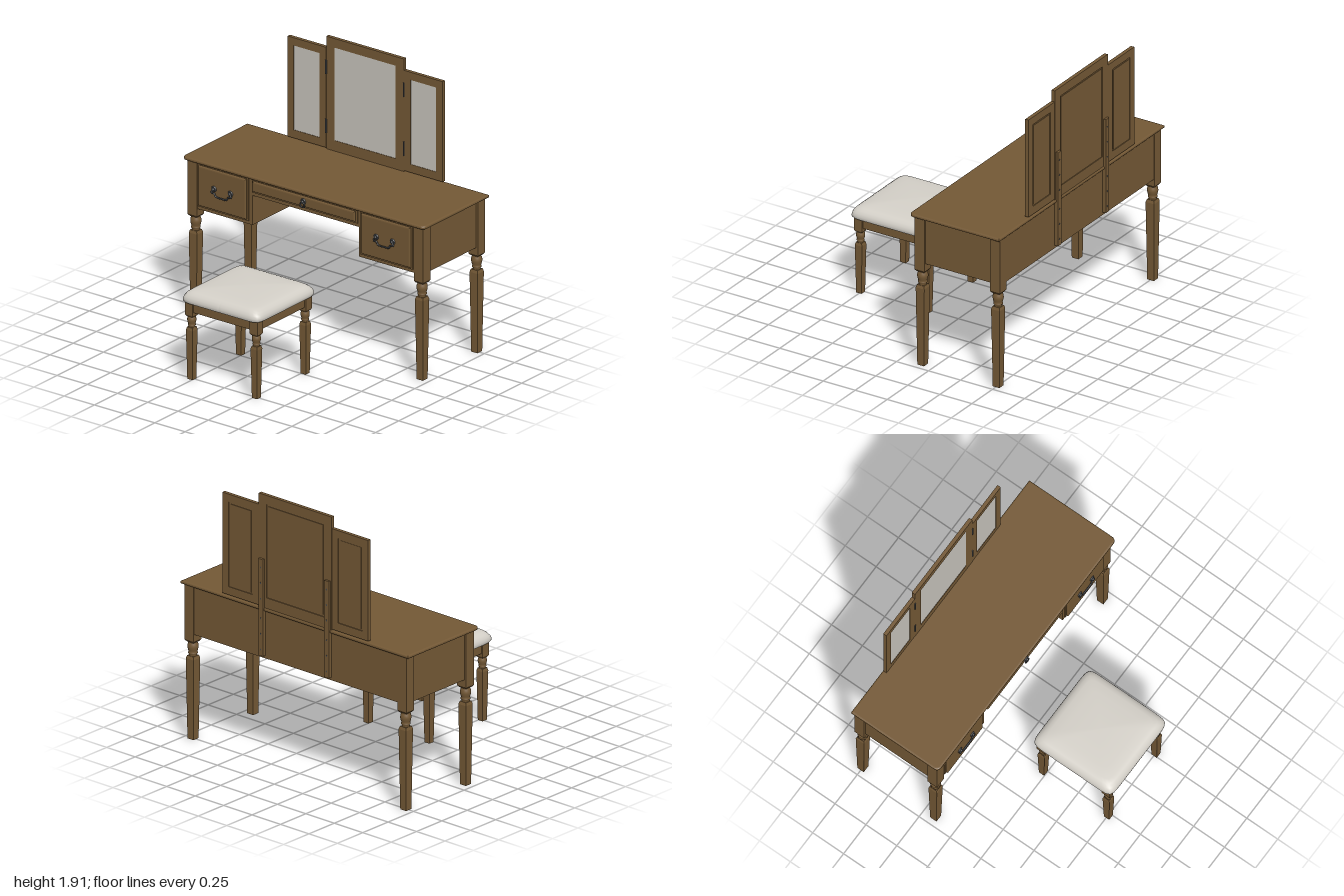
import * as THREE from 'three';

const mat = (name, color, extra = {}) => {
  const m = new THREE.MeshStandardMaterial({ color, ...extra });
  m.name = name;
  return m;
};

export function createModel() {
  const wood = mat('brown wood', 0x735835);
  const glass = mat('mirror glass', 0xc6c2bb);
  const fabric = mat('cushion fabric', 0xd3cfc7);
  const metal = mat('dark metal', 0x45474a);

  const model = new THREE.Group();
  model.name = 'vanityTableAndStool';
  const group = (name, parent = model) => {
    const g = new THREE.Group();
    g.name = name;
    parent.add(g);
    return g;
  };
  const add = (parent, name, geo, material, x = 0, y = 0, z = 0) => {
    const m = new THREE.Mesh(geo, material);
    m.name = name;
    m.position.set(x, y, z);
    parent.add(m);
    return m;
  };
  // Box given by its limits on each axis
  const box = (parent, name, [x0, x1], [y0, y1], [z0, z1], material = wood) =>
    add(parent, name, new THREE.BoxGeometry(x1 - x0, y1 - y0, z1 - z0), material,
      (x0 + x1) / 2, (y0 + y1) / 2, (z0 + z1) / 2);
  const rect = (Type, x0, x1, y0, y1) => new Type([
    [x0, y0], [x1, y0], [x1, y1], [x0, y1]].map(p => new THREE.Vector2(...p)));

  // Leg: square block, turned bead, square tapering foot
  function leg(parent, name, x, z, top, blockBottom, half) {
    const g = group(name, parent);
    g.position.set(x, 0, z);
    box(g, 'legBlock', [-half, half], [blockBottom, top], [-half, half]);
    const taper = (t, b, h, y, part) => {
      const geo = new THREE.CylinderGeometry(t * Math.SQRT2, b * Math.SQRT2, h, 4).toNonIndexed();
      geo.rotateY(Math.PI / 4);
      geo.computeVertexNormals();
      add(g, part, geo, wood, 0, y, 0);
    };
    taper(half, half * 0.72, 0.014, blockBottom - 0.007, 'blockChamfer');
    const s = half / 0.039;
    const bead = [[0.024, 0], [0.03, -0.012], [0.029, -0.018], [0.034, -0.026], [0.037, -0.042],
      [0.037, -0.052], [0.033, -0.07], [0.028, -0.082], [0.032, -0.088], [0.032, -0.095],
      [0.026, -0.1], [0.025, -0.125]]
      .reverse().map(([r, y]) => new THREE.Vector2(r * s, blockBottom + y * s));
    add(g, 'turnedBead', new THREE.LatheGeometry(bead, 24), wood);
    const footTop = blockBottom - 0.12 * s;
    taper(half * 0.7, half * 0.86, 0.02, footTop - 0.002, 'footChamfer');
    taper(half * 0.86, half * 0.66, footTop - 0.012, (footTop - 0.012) / 2, 'taperedFoot');
  }

  // ---- Table ----
  const table = group('table');
  const r = 0.025, ex = 0.988, zf = 0.108, zb = 0.79;
  const outline = new THREE.Shape();
  outline.moveTo(-ex, zb);
  outline.lineTo(-ex, zf + r);
  outline.quadraticCurveTo(-ex, zf, -ex + r, zf);
  outline.lineTo(ex - r, zf);
  outline.quadraticCurveTo(ex, zf, ex, zf + r);
  outline.lineTo(ex, zb);
  const topGeo = new THREE.ExtrudeGeometry(outline, {
    depth: 0.005, bevelThickness: 0.01, bevelSize: 0.012, bevelSegments: 4, curveSegments: 6 });
  topGeo.rotateX(-Math.PI / 2);
  add(table, 'tableTop', topGeo, wood, 0, 1.1, 0);

  for (const s of [-1, 1]) {
    leg(table, 'frontLeg', s * 0.935, -0.163, 1.092, 0.7, 0.039);
    leg(table, 'backLeg', s * 0.935, -0.752, 1.092, 0.7, 0.039);
    box(table, 'sidePanel', s > 0 ? [0.94, 0.96] : [-0.96, -0.94], [0.755, 1.092], [-0.72, -0.19]);
    box(table, 'drawerCase', s > 0 ? [0.44, 0.942] : [-0.942, -0.44], [0.755, 1.092], [-0.775, -0.128]);
  }
  box(table, 'backPanel', [-0.9, 0.9], [0.755, 1.092], [-0.788, -0.772]);
  box(table, 'centreCase', [-0.445, 0.445], [0.965, 1.092], [-0.775, -0.128]);

  // Drawer front with a bevelled edge
  function drawerFront(name, x0, x1, y0, y1) {
    const b = 0.012;
    box(table, name + 'Back', [x0, x1], [y0, y1], [-0.135, -0.12]);
    const geo = new THREE.ExtrudeGeometry(rect(THREE.Shape, x0 + 2 * b, x1 - 2 * b, y0 + 2 * b, y1 - 2 * b), {
      depth: 0.004, bevelThickness: 0.008, bevelSize: b, bevelSegments: 3 });
    add(table, name, geo, wood, 0, 0, -0.117);
  }
  drawerFront('rightDrawerFront', -0.89, -0.468, 0.778, 1.088);
  drawerFront('leftDrawerFront', 0.46, 0.89, 0.778, 1.088);
  drawerFront('centreDrawerFront', -0.438, 0.432, 0.99, 1.088);

  // Drawer pulls
  const rosette = (parent, x, y) => {
    const disc = add(parent, 'rosette', new THREE.CylinderGeometry(0.016, 0.022, 0.008, 20), metal, x, y, -0.102);
    disc.rotation.x = Math.PI / 2;
    add(parent, 'rosetteKnob', new THREE.SphereGeometry(0.01, 14, 10), metal, x, y, -0.096);
  };
  for (const x of [-0.674, 0.667]) {
    const pull = group('drawerPull', table);
    pull.position.x = x;
    rosette(pull, -0.068, 0.942);
    rosette(pull, 0.068, 0.942);
    const pts = [[-0.068, 0.942], [-0.082, 0.918], [-0.058, 0.915], [-0.045, 0.896], [0, 0.892],
      [0.045, 0.896], [0.058, 0.915], [0.082, 0.918], [0.068, 0.942]]
      .map(([px, py]) => new THREE.Vector3(px, py, -0.095));
    add(pull, 'bail', new THREE.TubeGeometry(new THREE.CatmullRomCurve3(pts), 48, 0.006, 8), metal);
  }
  const ringPull = group('ringPull', table);
  rosette(ringPull, -0.003, 1.042);
  add(ringPull, 'ring', new THREE.TorusGeometry(0.018, 0.005, 8, 24), metal, -0.003, 1.02, -0.095);

  // ---- Folding mirror ----
  const mirror = group('mirror');
  function mirrorPanel(name, [x0, x1, y0, y1], [gx0, gx1, gy0, gy1]) {
    const g = group(name, mirror);
    const shape = rect(THREE.Shape, x0, x1, y0, y1);
    shape.holes.push(rect(THREE.Path, gx0, gx1, gy0, gy1));
    add(g, 'frame', new THREE.ExtrudeGeometry(shape, { depth: 0.026, bevelEnabled: false }), wood, 0, 0, -0.797);
    box(g, 'backing', [gx0, gx1], [gy0, gy1], [-0.791, -0.78]);
    box(g, 'glass', [gx0, gx1], [gy0, gy1], [-0.78, -0.774], glass);
    // Narrow raised bead around the backing
    const bead = rect(THREE.Shape, gx0 + 0.012, gx1 - 0.012, gy0 + 0.012, gy1 - 0.012);
    add(g, 'backingField', new THREE.ExtrudeGeometry(bead, { depth: 0.005, bevelEnabled: false }), wood, 0, 0, -0.795);
  }
  mirrorPanel('centreMirror', [-0.323, 0.318, 1.115, 1.915], [-0.257, 0.25, 1.19, 1.85]);
  mirrorPanel('rightMirror', [-0.643, -0.325, 1.122, 1.835], [-0.593, -0.38, 1.18, 1.78]);
  mirrorPanel('leftMirror', [0.32, 0.637, 1.122, 1.835], [0.373, 0.583, 1.18, 1.78]);
  for (const x of [-0.324, 0.319]) {
    for (const y of [1.278, 1.697]) {
      box(mirror, 'hingePlate', [x - 0.006, x + 0.006], [y - 0.05, y + 0.05], [-0.772, -0.768], metal);
      add(mirror, 'hingePin', new THREE.CylinderGeometry(0.005, 0.005, 0.1, 10), metal, x, y, -0.768);
    }
  }
  for (const x of [-0.293, 0.286]) {
    box(mirror, 'supportBar', [x - 0.02, x + 0.02], [0.775, 1.46], [-0.814, -0.787]);
    for (const y of [0.82, 0.93, 1.04, 1.18, 1.29, 1.4]) {
      const screw = add(mirror, 'screw', new THREE.CylinderGeometry(0.006, 0.006, 0.004, 10), metal, x, y, -0.813);
      screw.rotation.x = Math.PI / 2;
    }
  }

  // ---- Stool ----
  const stool = group('stool');
  stool.position.z = 0.49;
  for (const sx of [-1, 1]) {
    for (const sz of [-1, 1]) {
      leg(stool, 'stoolLeg', sx * 0.267, sz * 0.263, 0.552, 0.46, 0.032);
      const brace = add(stool, 'cornerBrace', new THREE.BoxGeometry(0.12, 0.05, 0.02), wood, sx * 0.215, 0.52, sz * 0.211);
      brace.rotation.y = sx * sz * Math.PI / 4;
    }
    box(stool, 'sideApron', sx > 0 ? [0.265, 0.288] : [-0.288, -0.265], [0.482, 0.552], [-0.24, 0.24]);
    box(stool, 'crossApron', [-0.24, 0.24], [0.482, 0.552], sx > 0 ? [0.262, 0.285] : [-0.285, -0.262]);
  }

  // Cushion: lathe pushed out from round to rounded square
  const profile = [[0, 0.55], [0.3, 0.55], [0.309, 0.55], [0.316, 0.553], [0.322, 0.562], [0.323, 0.578],
    [0.317, 0.596], [0.304, 0.613], [0.285, 0.626], [0.26, 0.634], [0.2, 0.641], [0.1, 0.647], [0, 0.649]]
    .map(p => new THREE.Vector2(...p));
  const cushion = new THREE.LatheGeometry(profile, 96);
  const pos = cushion.attributes.position;
  for (let i = 0; i < pos.count; i++) {
    const x = pos.getX(i), z = pos.getZ(i), d = Math.hypot(x, z);
    if (d < 1e-6) continue;
    const n = 14;
    const k = 1 / Math.pow(Math.abs(x / d) ** n + Math.abs(z / d) ** n, 1 / n);
    pos.setX(i, x * k);
    pos.setZ(i, z * k);
  }
  cushion.computeVertexNormals();
  add(stool, 'cushion', cushion, fabric);

  return model;
}
